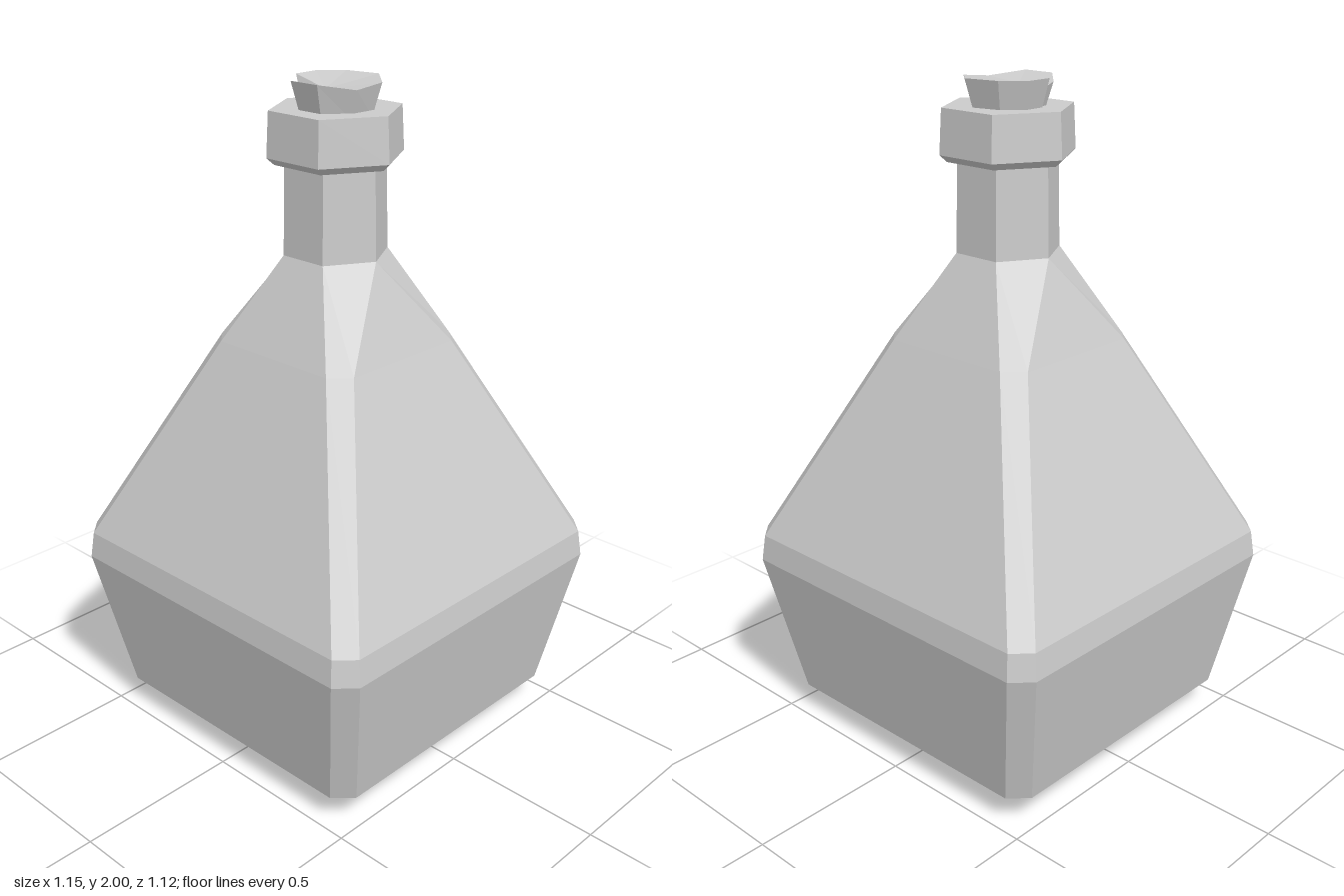
import * as THREE from 'three';

const material = () => new THREE.MeshStandardMaterial({ color: 0xcccccc, flatShading: true });

// Skin a stack of equal-length rings, listed from bottom to top, and cap both ends.
function loft(name, rings, topCentre) {
  const pos = [];
  const [a, b, c] = [new THREE.Vector3(), new THREE.Vector3(), new THREE.Vector3()];
  const tri = (p, q, r) => {
    a.set(...p); b.set(...q); c.set(...r);
    if (b.sub(a).cross(c.sub(a)).length() > 1e-7) pos.push(...p, ...q, ...r);
  };
  const n = rings[0].length;
  const centre = (ring) => [0, ring[0][1], 0];
  const first = rings[0], last = rings[rings.length - 1];
  for (let i = 0; i < n; i++) {
    const j = (i + 1) % n;
    for (let k = 0; k < rings.length - 1; k++) {
      const lo = rings[k], hi = rings[k + 1];
      tri(lo[i], hi[i], hi[j]);
      tri(lo[i], hi[j], lo[j]);
    }
    tri(centre(first), first[i], first[j]);
    tri(topCentre || centre(last), last[j], last[i]);
  }
  const geometry = new THREE.BufferGeometry();
  geometry.setAttribute('position', new THREE.Float32BufferAttribute(pos, 3));
  geometry.computeVertexNormals();
  const mesh = new THREE.Mesh(geometry, material());
  mesh.name = name;
  return mesh;
}

// Rectangle with cut corners
function cutRect(y, hx, hz, cut) {
  const x = hx - cut, z = hz - cut;
  return [[hx, z], [x, hz], [-x, hz], [-hx, z], [-hx, -z], [-x, -hz], [x, -hz], [hx, -z]]
    .map(([px, pz]) => [px, y, pz]);
}

// Hexagon with corners on the x axis
function hexagon(y, r) {
  return Array.from({ length: 6 }, (_, i) =>
    [r * Math.cos(i * Math.PI / 3), y, r * Math.sin(i * Math.PI / 3)]);
}

export function createModel() {
  const group = new THREE.Group();
  group.name = 'bottle';

  // Square body: the side corners of the shoulder merge into the hexagonal neck
  const neckBase = hexagon(1.51, 0.155);
  const shoulderTop = [0, 1, 2, 3, 3, 4, 5, 0].map((i) => neckBase[i]);
  group.add(loft('body', [
    cutRect(0, 0.4, 0.388, 0.05),
    cutRect(0.09, 0.487, 0.477, 0.053),
    cutRect(0.54, 0.573, 0.56, 0.055),
    cutRect(0.62, 0.563, 0.55, 0.052),
    cutRect(1.25, 0.267, 0.262, 0.054),
    shoulderTop,
  ]));

  // Neck and its collar
  group.add(loft('neck', [neckBase, hexagon(1.78, 0.149)]));
  group.add(loft('collar', [hexagon(1.77, 0.178), hexagon(1.79, 0.2), hexagon(1.92, 0.193)]));

  // Rough-cut stopper with a chipped, dished top
  const rim = [
    [0.12, 1.985, 0.045], [0.05, 2, 0.125], [-0.05, 2, 0.125], [-0.1, 1.985, 0.075],
    [-0.108, 1.977, 0.04], [-0.125, 2, 0.03], [-0.125, 2, -0.05], [-0.065, 2, -0.11],
    [0.04, 2, -0.13], [0.125, 1.995, -0.05],
  ];
  const foot = rim.map(([x, , z]) => [x * 0.79, 1.9, z * 0.79]);
  group.add(loft('stopper', [foot, rim], [0, 1.975, 0.042]));

  return group;
}
